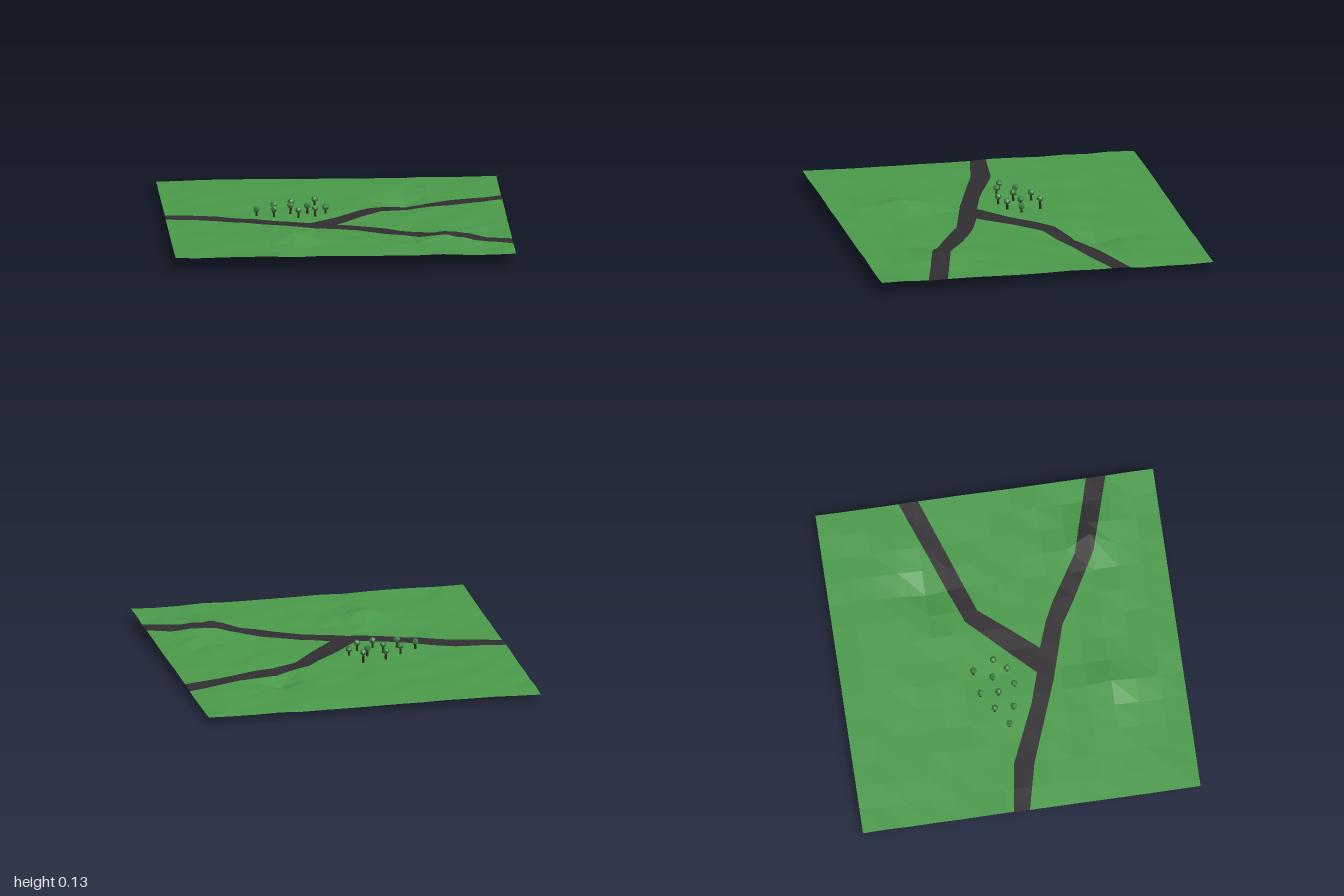
import * as THREE from 'three';

const SEG = 14;
const mat = (name, color, side = THREE.FrontSide) =>
  new THREE.MeshStandardMaterial({ name, color, side, flatShading: true });

// Repeatable small unevenness of the ground
const wobble = (i, j) => {
  const s = Math.sin(i * 127.1 + j * 311.7) * 43758.5453;
  return (s - Math.floor(s) - 0.5) * 0.009;
};

// Local hills and hollow: x, z, height, radius
const bumps = [
  [-0.286, 0.571, 0.044, 0.21],
  [0.64, 0.571, 0.036, 0.21],
  [0.429, -0.429, -0.047, 0.2],
];

// Ground grid vertex: gentle tilt, wobble, bumps
function groundPoint(i, j) {
  let x = -1 + (2 * i) / SEG;
  const z = -1 + (2 * j) / SEG;
  if (i === 11 && j === 11) x = 0.64;
  let y = 0.055 + 0.019 * z;
  let rough = 1;
  for (const [bx, bz, h, r] of bumps) {
    const f = Math.max(0, 1 - Math.hypot(x - bx, z - bz) / r);
    y += h * f;
    rough = Math.min(rough, 1 - f);
  }
  y += wobble(i, j) * rough;
  return [0.9925 * x - 0.0075 * z, y, 0.9925 * z + 0.0075 * x];
}

// Road outlines: left edge x, z, right edge x, z
const mainRoad = [
  [-1.02, -0.115, -1.02, -0.025], [-0.7, -0.07, -0.71, 0.05],
  [-0.35, 0.085, -0.38, 0.175], [-0.18, 0.14, -0.22, 0.235],
  [0, 0.19, -0.04, 0.29], [0.15, 0.245, 0.11, 0.335],
  [0.27, 0.305, 0.24, 0.415], [0.54, 0.475, 0.54, 0.585],
  [1.02, 0.615, 1.02, 0.73],
];
const sideRoad = [
  [-0.16, 0.15, -0.02, 0.2], [0.215, -0.22, 0.275, -0.14],
  [1.02, -0.505, 1.02, -0.39],
];

function roadQuads(road) {
  return road.slice(1).map((q, k) => {
    const p = road[k];
    return [[p[0], p[1]], [q[0], q[1]], [q[2], q[3]], [p[2], p[3]]];
  });
}

// Split a polygon by the line a-b (seen from above) into its two sides
function splitPolygon(poly, a, b, sign) {
  const dist = (p) => sign * ((b[0] - a[0]) * (p[2] - a[1]) - (b[1] - a[1]) * (p[0] - a[0]));
  const inside = [], outside = [];
  poly.forEach((p, k) => {
    const q = poly[(k + 1) % poly.length];
    const dp = dist(p), dq = dist(q);
    (dp >= 0 ? inside : outside).push(p);
    if (dp >= 0 !== dq >= 0) {
      const t = dp / (dp - dq);
      const m = p.map((v, n) => v + (q[n] - v) * t);
      inside.push(m);
      outside.push(m);
    }
  });
  return [inside, outside];
}

// Cut one road quad out of a list of polygons
function cutQuad(polys, quad, roadOut) {
  const c = [0, 1].map((n) => quad.reduce((s, p) => s + p[n], 0) / 4);
  const rest = [];
  for (const poly of polys) {
    let current = poly;
    const pieces = [];
    for (let k = 0; k < 4 && current.length > 2; k++) {
      const a = quad[k], b = quad[(k + 1) % 4];
      const sign = Math.sign((b[0] - a[0]) * (c[1] - a[1]) - (b[1] - a[1]) * (c[0] - a[0]));
      const [inside, outside] = splitPolygon(current, a, b, sign);
      if (outside.length > 2) pieces.push(outside);
      current = inside;
    }
    if (current.length > 2) {
      roadOut.push(current);
      rest.push(...pieces);
    } else {
      rest.push(poly);
    }
  }
  return rest;
}

function polygonsToMesh(polys, material, name) {
  const pos = [];
  for (const p of polys) {
    for (let k = 1; k < p.length - 1; k++) pos.push(...p[0], ...p[k], ...p[k + 1]);
  }
  const geo = new THREE.BufferGeometry();
  geo.setAttribute('position', new THREE.Float32BufferAttribute(pos, 3));
  geo.computeVertexNormals();
  const mesh = new THREE.Mesh(geo, material);
  mesh.name = name;
  return mesh;
}

export function createModel() {
  const model = new THREE.Group();
  model.name = 'landscape';
  const grass = mat('grass green', 0x4a9a4a, THREE.DoubleSide);
  const asphalt = mat('asphalt', 0x302e30, THREE.DoubleSide);
  const leaf = mat('leaf green', 0x3b7d40);
  const bark = mat('bark', 0x33261c);

  // Ground triangles
  let ground = [];
  for (let j = 0; j < SEG; j++) {
    for (let i = 0; i < SEG; i++) {
      const a = groundPoint(i, j), b = groundPoint(i, j + 1);
      const c = groundPoint(i + 1, j + 1), d = groundPoint(i + 1, j);
      ground.push([a, b, d], [b, c, d]);
    }
  }

  // Roads cut into the ground surface
  const road = [];
  for (const quad of [...roadQuads(mainRoad), ...roadQuads(sideRoad)]) {
    ground = cutQuad(ground, quad, road);
  }
  model.add(polygonsToMesh(ground, grass, 'ground'));
  model.add(polygonsToMesh(road, asphalt, 'roads'));

  // Grove of small trees: x, z, crown height
  const trees = [
    [-0.46, -0.06, 0.098], [-0.355, -0.13, 0.104], [-0.25, -0.2, 0.102],
    [-0.11, -0.22, 0.11], [-0.26, -0.095, 0.108], [-0.16, -0.115, 0.1],
    [-0.055, -0.095, 0.095], [-0.36, -0.02, 0.107], [-0.22, 0.005, 0.104],
    [-0.12, -0.025, 0.106],
  ];
  const crownGeo = new THREE.IcosahedronGeometry(0.021, 0);
  const trunkGeo = new THREE.CylinderGeometry(0.005, 0.008, 1, 6);
  trees.forEach(([x, z, y], k) => {
    const tree = new THREE.Group();
    tree.name = 'tree';
    const crown = new THREE.Mesh(crownGeo, leaf);
    crown.name = 'crown';
    crown.position.y = y;
    crown.rotation.y = k * 1.3;
    const trunk = new THREE.Mesh(trunkGeo, bark);
    trunk.name = 'trunk';
    trunk.scale.y = y - 0.047;
    trunk.position.y = (y + 0.047) / 2;
    tree.add(crown, trunk);
    tree.position.set(x, 0, z);
    model.add(tree);
  });
  return model;
}
